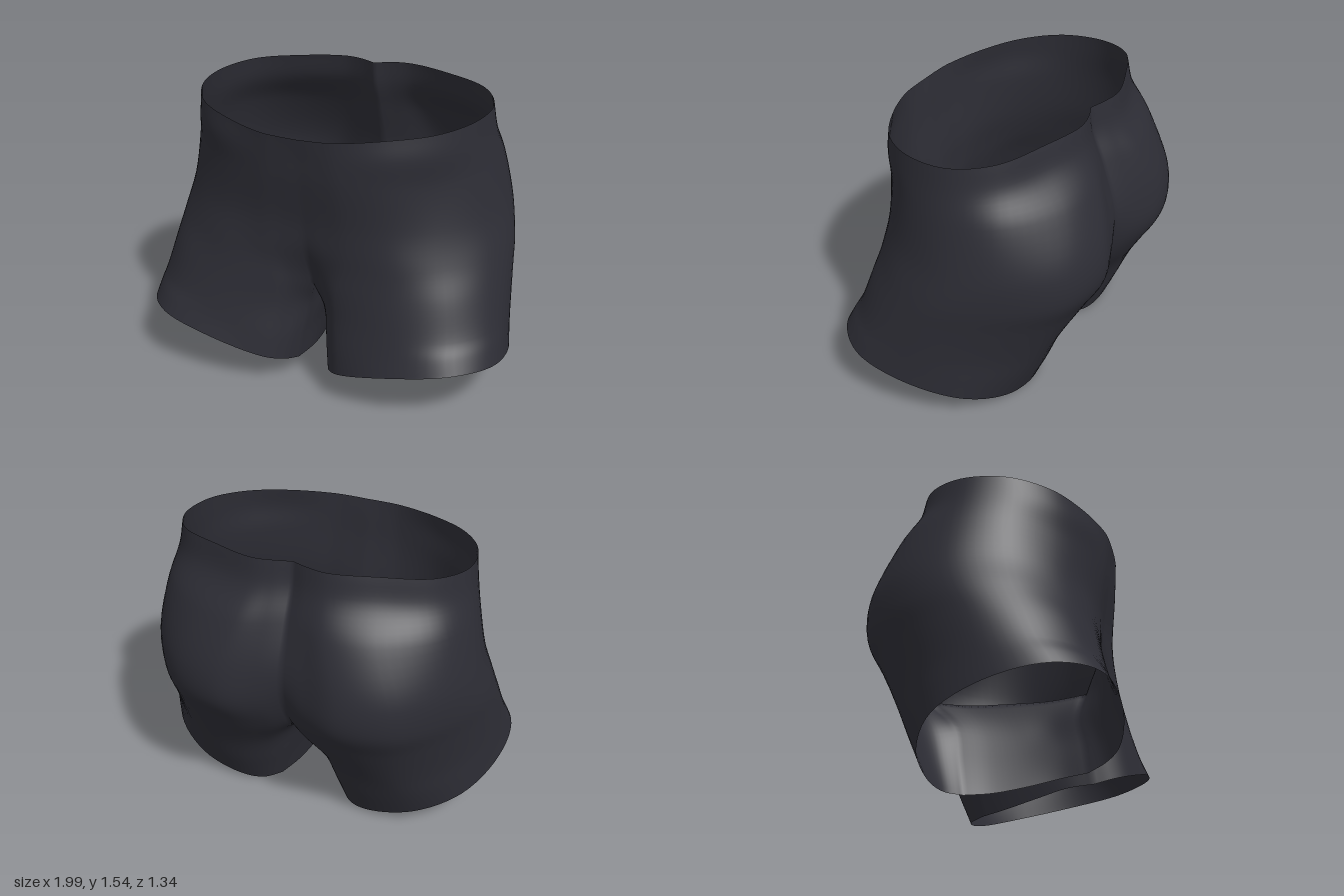
import * as THREE from 'three';
import { mergeVertices } from 'three/addons/utils/BufferGeometryUtils.js';

// Cross-sections of the left half, each from centre front round the hip to centre back
const waist = [[0, 1.425, .59], [.1, 1.427, .587], [.2, 1.43, .575], [.42, 1.445, .49], [.62, 1.46, .36], [.75, 1.48, .16],
  [.77, 1.495, -.08], [.66, 1.515, -.27], [.42, 1.53, -.385], [.2, 1.535, -.45], [.09, 1.535, -.435], [0, 1.53, -.4]];
const waistband = [[0, 1.33, .575], [.1, 1.33, .577], [.2, 1.33, .57], [.43, 1.34, .5], [.63, 1.35, .365], [.762, 1.36, .16],
  [.79, 1.37, -.09], [.68, 1.385, -.29], [.44, 1.395, -.42], [.21, 1.4, -.48], [.09, 1.4, -.46], [0, 1.395, -.42]];
const belly = [[0, 1.2, .56], [.1, 1.2, .563], [.22, 1.2, .557], [.44, 1.2, .49], [.635, 1.2, .355], [.785, 1.21, .15],
  [.828, 1.22, -.1], [.74, 1.23, -.34], [.48, 1.23, -.53], [.24, 1.23, -.575], [.1, 1.23, -.53], [0, 1.23, -.485]];
const hip = [[0, .97, .52], [.11, .97, .527], [.24, .97, .53], [.47, .97, .485], [.67, .97, .365], [.825, .97, .165],
  [.885, .97, -.1], [.8, .97, -.375], [.58, .97, -.6], [.33, .97, -.667], [.13, .97, -.61], [0, .97, -.565]];
const seat = [[0, .8, .495], [.11, .79, .515], [.24, .79, .53], [.49, .79, .515], [.7, .79, .41], [.87, .79, .21],
  [.925, .79, -.05], [.83, .79, -.33], [.6, .78, -.595], [.33, .78, -.67], [.13, .78, -.61], [0, .8, -.55]];
const thighTop = [[0, .57, .41], [.08, .6, .475], [.18, .62, .53], [.48, .64, .55], [.735, .64, .465], [.9, .64, .27],
  [.945, .64, .02], [.85, .63, -.25], [.6, .61, -.52], [.32, .6, -.58], [.11, .59, -.52], [0, .61, -.46]];
const thigh = [[.04, .42, .37], [.09, .44, .45], [.18, .45, .54], [.5, .46, .595], [.77, .46, .53], [.937, .46, .34],
  [.962, .45, .07], [.85, .42, -.2], [.59, .37, -.43], [.33, .36, -.45], [.17, .38, -.39], [.08, .42, -.29]];
const lowerThigh = [[.07, .26, .4], [.11, .27, .49], [.21, .29, .58], [.5, .36, .625], [.78, .39, .575], [.955, .385, .38],
  [.972, .355, .1], [.86, .29, -.175], [.625, .22, -.36], [.36, .17, -.38], [.22, .18, -.33], [.14, .2, -.24]];
const hem = [[.09, .1, .42], [.13, .135, .52], [.22, .175, .6], [.5, .265, .66], [.8, .32, .61], [.97, .31, .42],
  [.985, .26, .13], [.865, .175, -.16], [.645, .085, -.3], [.4, .02, -.32], [.27, 0, -.28], [.19, 0, -.2]];

// Inner leg, from front to back under the crotch
const crotch = [[0, .57, .41], [0, .55, .22], [0, .555, 0], [0, .57, -.24], [0, .61, -.46]];
const innerThigh = [[.04, .42, .37], [.02, .4, .22], [.03, .38, .06], [.05, .39, -.12], [.08, .42, -.29]];
const innerLower = [[.07, .26, .4], [.06, .24, .26], [.07, .21, .1], [.1, .19, -.08], [.14, .2, -.24]];
const innerHem = [[.09, .1, .42], [.08, .085, .28], [.1, .05, .12], [.14, .015, -.06], [.19, 0, -.2]];

const STEPS = 6; // rows between two cross-sections

function spline(points, count) {
  const curve = new THREE.CatmullRomCurve3(points);
  return Array.from({ length: count + 1 }, (_, i) => curve.getPoint(i / count));
}

// Smooth grid through the sections: grid[column][row]
function loft(sections, columns) {
  const rows = sections.map(s => spline(s.map(p => new THREE.Vector3(...p)), columns));
  return rows[0].map((_, c) => spline(rows.map(r => r[c]), (sections.length - 1) * STEPS));
}

// Adds a grid's triangles; side is 1 for the left half and -1 for its mirror
function addGrid(out, grid, side, flip) {
  const put = (...corners) => corners.forEach(p => out.push(p.x * side, p.y, p.z));
  const reversed = (side < 0) !== flip;
  for (let c = 0; c < grid.length - 1; c++) {
    for (let r = 0; r < grid[c].length - 1; r++) {
      const a = grid[c][r], b = grid[c][r + 1], d = grid[c + 1][r], e = grid[c + 1][r + 1];
      if (reversed) put(a, d, b, b, d, e);
      else put(a, b, d, b, e, d);
    }
  }
}

export function createModel() {
  const fabric = new THREE.MeshStandardMaterial({ color: 0x2d2d35, side: THREE.DoubleSide });
  fabric.name = 'charcoal fabric';

  const outer = loft([waist, waistband, belly, hip, seat, thighTop, thigh, lowerThigh, hem], 66);
  const inner = loft([crotch, innerThigh, innerLower, innerHem], 24);

  // Keep the centre seam on the mirror plane and join the inner leg to the outer one
  const junction = 5 * STEPS;
  for (const edge of [outer[0], outer.at(-1)]) {
    edge.forEach((p, r) => { p.x = r <= junction ? 0 : Math.max(p.x, 0); });
  }
  inner[0] = outer[0].slice(junction);
  inner[inner.length - 1] = outer.at(-1).slice(junction);

  const positions = [];
  for (const side of [1, -1]) {
    addGrid(positions, outer, side, false);
    addGrid(positions, inner, side, true);
  }
  let geometry = new THREE.BufferGeometry();
  geometry.setAttribute('position', new THREE.Float32BufferAttribute(positions, 3));
  geometry = mergeVertices(geometry, 1e-4);
  geometry.computeVertexNormals();

  const shorts = new THREE.Mesh(geometry, fabric);
  shorts.name = 'shorts';
  const model = new THREE.Group();
  model.name = 'fitted shorts';
  model.add(shorts);
  return model;
}
